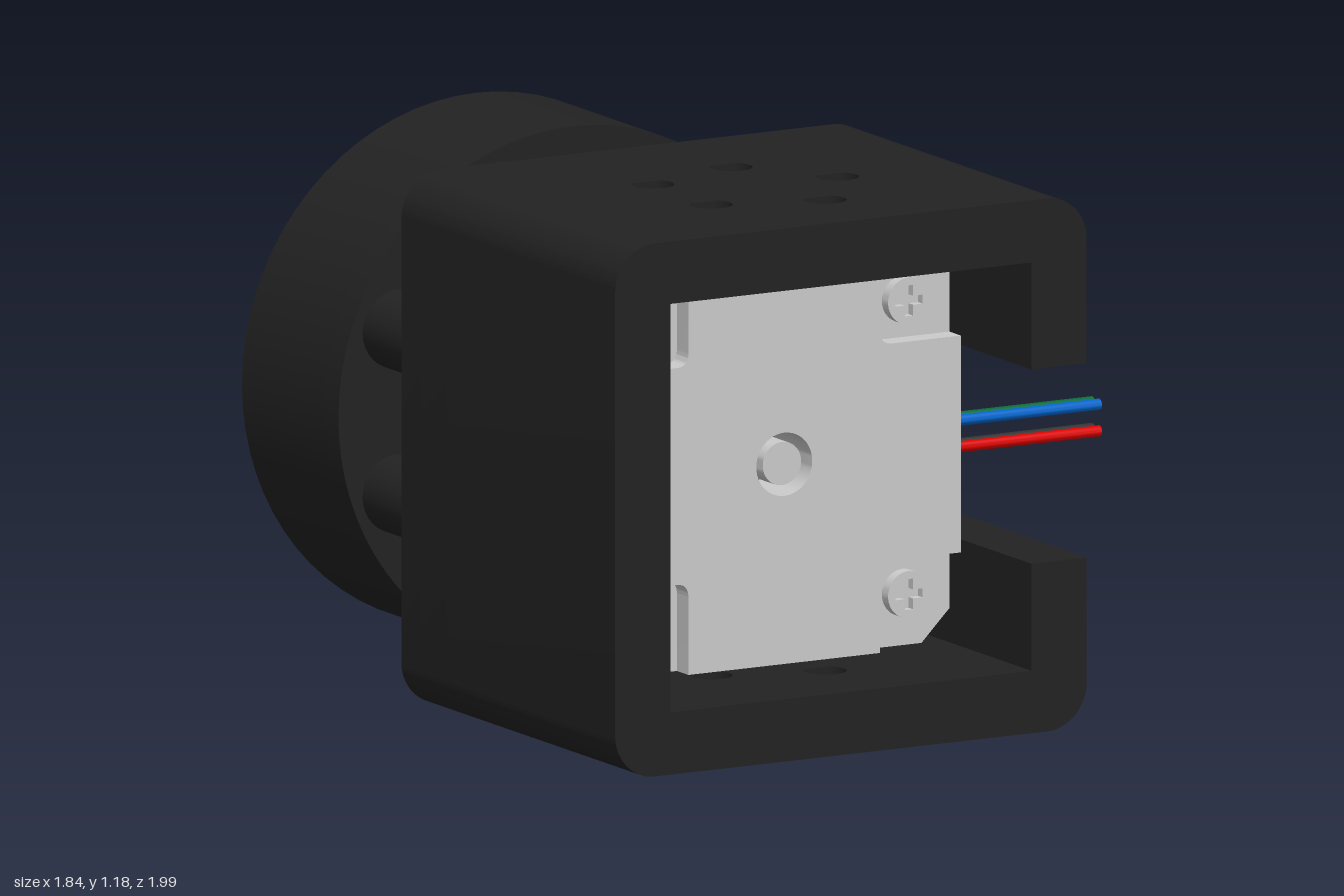
import * as THREE from 'three';
import { toCreasedNormals } from 'three/addons/utils/BufferGeometryUtils.js';

const grey = new THREE.MeshStandardMaterial({ color: 0xcccccc });
const paint = (color) => new THREE.MeshStandardMaterial({ color });
const black = paint(0x222222), dark = paint(0x555555);

// Housing half size, cavity half size, slot half height
const H = 0.59, C = 0.452, S = 0.215;
const FRONT = 0.8, SEAT = 0.067, SLOT_END = -0.048, BACK = -0.13;
const corners = [[1, 1], [-1, 1], [-1, -1], [1, -1]];

export function createModel() {
  const body = new THREE.Group();
  body.name = 'motorUnit';

  const add = (name, geometry, material, parent = body) => {
    const mesh = new THREE.Mesh(toCreasedNormals(geometry, 0.6), material);
    mesh.name = name;
    parent.add(mesh);
    return mesh;
  };
  const poly = (pts) => new THREE.Shape(pts.map(([x, y]) => new THREE.Vector2(x, y)));
  const disc = (x, y, r) => new THREE.Shape().absarc(x, y, r, 0, Math.PI * 2, false);
  const hole = (x, y, r) => new THREE.Path().absarc(x, y, r, 0, Math.PI * 2, true);
  const extrude = (shape, z0, z1) =>
    new THREE.ExtrudeGeometry(shape, { depth: z1 - z0, bevelEnabled: false, curveSegments: 24 }).translate(0, 0, z0);
  const rod = (r, x, y, z0, z1, sides = 32) =>
    new THREE.CylinderGeometry(r, r, z1 - z0, sides).rotateX(Math.PI / 2).translate(x, y, (z0 + z1) / 2);
  const ring = (pts) =>
    new THREE.LatheGeometry([...pts, pts[0]].map(([r, z]) => new THREE.Vector2(r, z)), 72).rotateX(Math.PI / 2);

  // Rectangle with an individual radius per corner (bl, br, tr, tl) and an optional notch on the +x side
  const rounded = (x0, y0, x1, y1, [bl, br, tr, tl], notch = false) => {
    const s = new THREE.Shape();
    s.moveTo(x0 + bl, y0);
    s.lineTo(x1 - br, y0);
    if (br) s.absarc(x1 - br, y0 + br, br, -Math.PI / 2, 0, false);
    if (notch) [[x1, -S], [C, -S], [C, S], [x1, S]].forEach(([x, y]) => s.lineTo(x, y));
    s.lineTo(x1, y1 - tr);
    if (tr) s.absarc(x1 - tr, y1 - tr, tr, 0, Math.PI / 2, false);
    s.lineTo(x0 + tl, y1);
    if (tl) s.absarc(x0 + tl, y1 - tl, tl, Math.PI / 2, Math.PI, false);
    s.lineTo(x0, y0 + bl);
    if (bl) s.absarc(x0 + bl, y0 + bl, bl, Math.PI, Math.PI * 1.5, false);
    return s;
  };

  // Housing: thick back wall, with the cable slot cut into its front part
  const R = 0.1;
  for (const [z0, z1, notch] of [[BACK, SLOT_END, false], [SLOT_END, SEAT, true]]) {
    const wall = rounded(-H, -H, H, H, [R, R, R, R], notch);
    wall.holes.push(hole(0, 0, 0.22));
    corners.forEach(([x, y]) => wall.holes.push(hole(x * 0.325, y * 0.325, 0.035)));
    add('housingBackWall', extrude(wall, z0, z1), black);
  }
  // Housing side walls
  add('housingRightWall', extrude(rounded(-H, -H, -C, H, [R, 0, 0, R]), SEAT, FRONT), black);
  add('housingLeftWallUpper', extrude(rounded(C, S, H, H, [0, 0, R, 0]), SEAT, FRONT), black);
  add('housingLeftWallLower', extrude(rounded(C, -H, H, -S, [0, R, 0, 0]), SEAT, FRONT), black);

  // Top and bottom walls with five teardrop vents
  const plate = poly([[-C, -FRONT], [C, -FRONT], [C, -SEAT], [-C, -SEAT]]);
  for (let i = 0; i < 5; i++) {
    const a = (i * Math.PI * 2) / 5, r = 0.046;
    const x = 0.215 * Math.cos(a), y = -0.368 + 0.215 * Math.sin(a);
    const drop = new THREE.Path();
    drop.moveTo(x, y + r * 1.42);
    drop.absarc(x, y, r, Math.PI / 4, Math.PI * 0.75, true);
    drop.closePath();
    plate.holes.push(drop);
  }
  for (const [name, y] of [['housingTop', C], ['housingBottom', -H]])
    add(name, extrude(plate, 0, H - C).rotateX(-Math.PI / 2).translate(0, y, 0), black);

  // Eight pillars joining the housing and the bearing holder
  for (let i = 0; i < 8; i++) {
    const a = ((i + 0.5) * Math.PI) / 4;
    add('pillar', rod(0.087, 0.475 * Math.cos(a), 0.475 * Math.sin(a), -0.415, BACK + 0.005), black);
  }

  // Bearing holder: lip with screwdriver holes, and tube
  const lip = disc(0, 0, 0.586);
  lip.holes.push(hole(0, 0, 0.4));
  corners.forEach(([x, y]) => lip.holes.push(hole(x * 0.325, y * 0.325, 0.035)));
  add('bearingHolderLip', new THREE.ExtrudeGeometry(lip, { depth: 0.06, bevelEnabled: false, curveSegments: 72 })
    .translate(0, 0, -0.47), black);
  add('bearingHolder', ring([[0.586, -0.83], [0.586, -0.47], [0.485, -0.47], [0.485, -0.83]]), black);

  // Tapered roller bearing
  const bearing = new THREE.Group();
  bearing.name = 'bearing';
  body.add(bearing);
  add('outerRace', ring([[0.485, -0.8], [0.485, -0.47], [0.43, -0.47], [0.462, -0.8]]), grey, bearing);
  add('innerRace', ring([[0.4, -0.82], [0.4, -0.78], [0.385, -0.77], [0.365, -0.5], [0.375, -0.47], [0.315, -0.47],
    [0.315, -0.81], [0.325, -0.82]]), grey, bearing);
  add('rollerCage', ring([[0.428, -0.79], [0.405, -0.49], [0.395, -0.49], [0.418, -0.79]]), grey, bearing);
  for (let i = 0; i < 26; i++) {
    const roller = new THREE.CylinderGeometry(0.03, 0.036, 0.26, 14)
      .rotateX(Math.PI / 2).rotateY(-0.085).translate(0.412, 0, -0.64).rotateZ((i * Math.PI * 2) / 26);
    add('roller', roller, grey, bearing);
  }

  // Motor: front cap, laminated core, rear cap with stepped corners
  const motor = new THREE.Group();
  motor.name = 'motor';
  body.add(motor);
  const M = 0.442, K = 0.07;
  const octagon = (m, k) => poly([[m - k, -m], [m, k - m], [m, m - k], [m - k, m], [k - m, m], [-m, m - k], [-m, k - m], [k - m, -m]]);
  add('frontCap', extrude(octagon(M, K), SEAT, 0.152), grey, motor);
  add('core', extrude(octagon(M - 0.004, 0.09), 0.152, 0.353), dark, motor);
  const rearBase = octagon(M, K);
  rearBase.holes.push(hole(0, 0, 0.07));
  add('rearCap', extrude(rearBase, 0.353, 0.46), grey, motor);
  const P = 0.24, Q = 0.03;
  const raised = new THREE.Shape();
  for (let i = 0; i < 4; i++) {
    const a = (i * Math.PI) / 2, c = Math.cos(a), s = Math.sin(a);
    const t = (x, y) => [x * c - y * s, x * s + y * c];
    if (i) raised.lineTo(...t(M, -P)); else raised.moveTo(M, -P);
    raised.lineTo(...t(M, P));
    raised.lineTo(...t(P + Q, P));
    raised.quadraticCurveTo(...t(P, P), ...t(P, P + Q));
    raised.lineTo(...t(P, M));
  }
  raised.holes.push(hole(0, 0, 0.07));
  add('rearCapRaised', extrude(raised, 0.46, 0.51), grey, motor);
  add('pilotBoss', rod(0.205, 0, 0, 0.0, SEAT, 48), grey, motor);
  add('shaft', rod(0.048, 0, 0, -0.36, 0.5), grey, motor);
  add('shaftTip', new THREE.CylinderGeometry(0.048, 0.038, 0.012, 32).rotateX(Math.PI / 2).translate(0, 0, -0.366), grey, motor);

  // Cross-head screws in the stepped corners
  const w = 0.01, l = 0.034;
  const cross = [[w, l], [w, w], [l, w], [l, -w], [w, -w], [w, -l], [-w, -l], [-w, -w], [-l, -w], [-l, w], [-w, w], [-w, l]];
  for (const [sx, sy] of corners) {
    const head = disc(0, 0, 0.052);
    head.holes.push(poly(cross));
    add('screwHead', extrude(head, 0.468, 0.487).translate(sx * 0.325, sy * 0.325, 0), grey, motor);
    add('screwBase', rod(0.052, sx * 0.325, sy * 0.325, 0.455, 0.468), grey, motor);
  }

  // Cable socket on the side, with four wires
  const socket = poly([[-0.048, -0.075], [0.048, -0.075], [0.048, 0.075], [-0.048, 0.075]]);
  socket.holes.push(poly([[-0.033, -0.06], [-0.033, 0.06], [0.033, 0.06], [0.033, -0.06]]));
  add('cableSocket', extrude(socket, 0, 0.02).rotateY(Math.PI / 2).translate(M - 0.002, 0, 0.412), grey, motor);
  [[0x0066cc, 0.425, 0.033], [0x0a6b3c, 0.395, 0.033], [0xdd0000, 0.425, -0.026], [0x333333, 0.395, -0.026]]
    .forEach(([color, z, y]) => {
      const wire = new THREE.CylinderGeometry(0.0125, 0.0125, 0.4, 16).rotateZ(Math.PI / 2).translate(0.637, y, z);
      add('wire', wire, paint(color), motor);
    });

  // Place the unit on the ground, turned about the vertical
  body.rotation.y = 0.471;
  body.position.set(-0.02, H, 0.01);
  const model = new THREE.Group();
  model.name = 'motorWithBearingHolder';
  model.add(body);
  return model;
}
